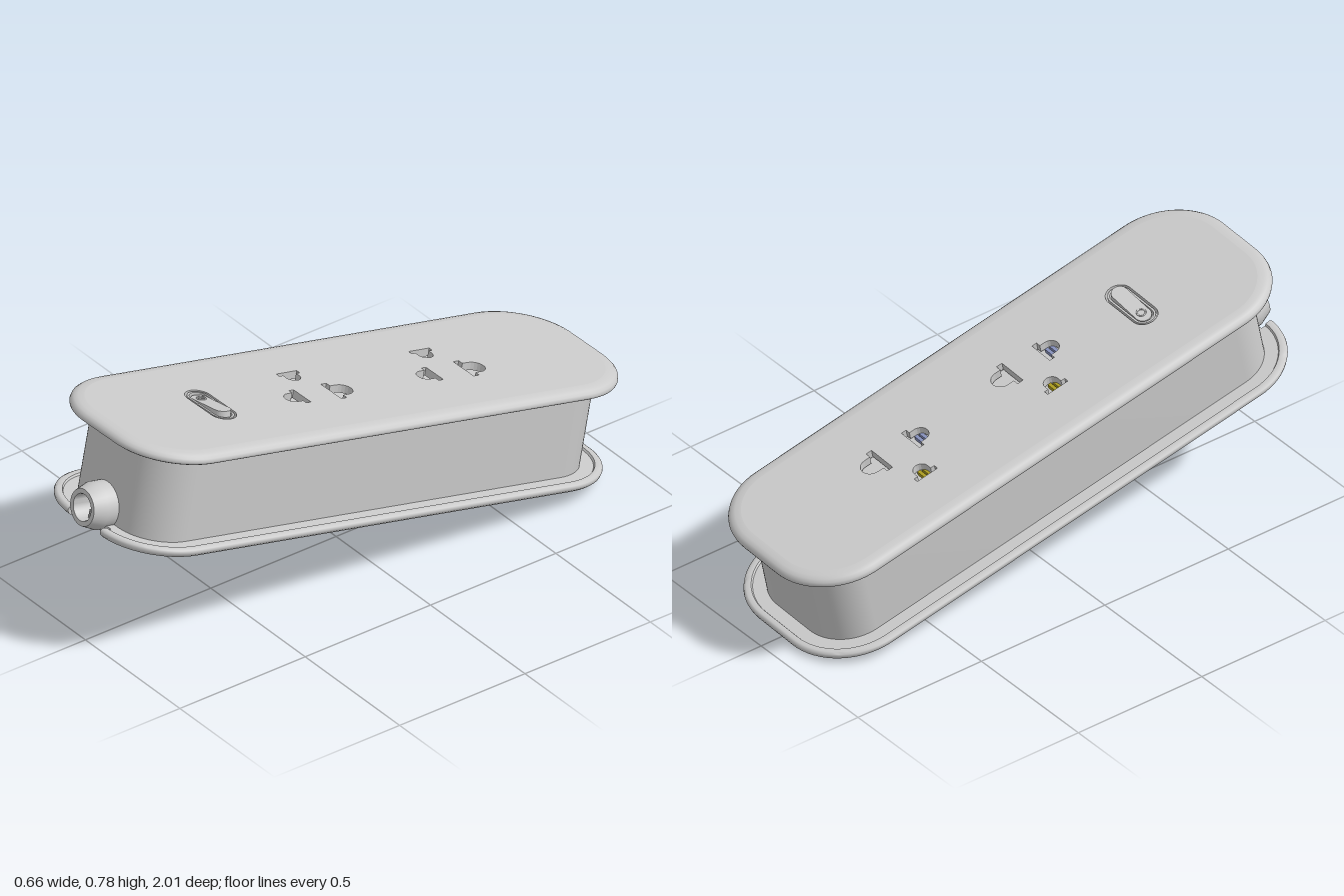
import * as THREE from 'three';
import { toCreasedNormals } from 'three/addons/utils/BufferGeometryUtils.js';

const HX = 0.315, HZ = 0.987, R = 0.23, H = 0.37;
const grey = new THREE.MeshStandardMaterial({ color: 0xcccccc, side: THREE.DoubleSide });
const brass = new THREE.MeshStandardMaterial({ color: 0xb0a020 });
const steel = new THREE.MeshStandardMaterial({ color: 0x8a94c0 });

function add(parent, name, geo, x = 0, y = 0, z = 0, mat = grey) {
  const mesh = new THREE.Mesh(geo, mat);
  mesh.name = name;
  mesh.position.set(x, y, z);
  parent.add(mesh);
  return mesh;
}

// Rounded rectangle seen from above, starting and ending at the front notch
function outline(inset, seg = 16) {
  const pts = [], r = R - inset;
  [[1, 1], [1, -1], [-1, -1], [-1, 1]].forEach(([sx, sz], k) => {
    for (let i = 0; i <= seg; i++) {
      const a = Math.PI / 2 * (1 - k - i / seg);
      pts.push(new THREE.Vector2(sx * (HX - R) + r * Math.cos(a), sz * (HZ - R) + r * Math.sin(a)));
    }
  });
  return pts;
}

// Sweep an [inset, height] profile around the outline
function sweep(profile, closed) {
  const pos = [], idx = [];
  let n = 0;
  for (const [inset, y] of profile) {
    const pts = outline(inset);
    if (closed) pts.push(pts[0]);
    n = pts.length;
    pts.forEach(p => pos.push(p.x, y, p.y));
  }
  for (let i = 0; i < profile.length - 1; i++) {
    for (let j = 0; j < n - 1; j++) {
      const a = i * n + j;
      idx.push(a, a + 1, a + n, a + 1, a + 1 + n, a + n);
    }
  }
  const geo = new THREE.BufferGeometry();
  geo.setAttribute('position', new THREE.Float32BufferAttribute(pos, 3));
  geo.setIndex(idx);
  return toCreasedNormals(geo, 0.75);
}

// Flat slab with holes, its shape drawn in x and z, its top at y = 0
function slab(shape, depth) {
  return new THREE.ExtrudeGeometry(shape, { depth, bevelEnabled: false, curveSegments: 20 }).rotateX(Math.PI / 2);
}

function capsule(Type, w, h, x = 0, z = 0) {
  const s = new Type(), r = h / 2, c = w / 2 - r;
  s.absarc(x + c, z, r, -Math.PI / 2, Math.PI / 2);
  s.absarc(x - c, z, r, Math.PI / 2, Math.PI * 1.5);
  s.closePath();
  return s;
}

// Domed socket opening with a wider foot
function slotPath({ x, z, turn, size }) {
  const pts = [[-0.035, 0.018], [-0.055, 0.018], [-0.055, 0.04], [0.055, 0.04], [0.055, 0.018], [0.035, 0.018]];
  for (let i = 0; i <= 10; i++) {
    const a = Math.PI * i / 10;
    pts.push([0.035 * Math.cos(a), -0.005 - 0.035 * Math.sin(a)]);
  }
  const c = Math.cos(turn) * size, s = Math.sin(turn) * size;
  return new THREE.Path(pts.map(([u, v]) => new THREE.Vector2(x + u * c - v * s, z + u * s + v * c)));
}

export function createModel() {
  const root = new THREE.Group();
  root.name = 'powerStrip';
  const strip = new THREE.Group();
  strip.name = 'tiltedStrip';
  strip.position.set(0.005, 0.205, 0.04);
  strip.rotation.set(-0.218, -0.0145, 0.03);
  root.add(strip);

  // Rolled rims of the top and bottom plates
  const rim = [[0.075, 0.342], [0.03, 0.342], [0.026, 0.335], [0.01, 0.333], [0.002, 0.338],
    [0, 0.345], [0.003, 0.355], [0.012, 0.363], [0.025, 0.368], [0.045, H]];
  const lowerRim = rim.map(([i, y]) => [i, H - y]).reverse();
  add(strip, 'topRim', sweep(rim, true));
  add(strip, 'bottomRim', sweep(lowerRim, false));
  const section = new THREE.Shape(lowerRim.map(([i, y]) => new THREE.Vector2(i - HZ, y)));
  for (const s of [-1, 1]) {
    add(strip, 'notchEnd', new THREE.ShapeGeometry(section).rotateY(Math.PI / 2), s * (HX - R));
  }

  // Body wall
  add(strip, 'body', sweep([[0.075, 0.02], [0.075, 0.35]], true));

  // Top plate with two sockets and a switch opening
  const slots = [];
  for (const dz of [0, 0.535]) {
    slots.push({ x: 0.045, z: -0.485 + dz, turn: 0, size: 1 },
      { x: 0.043, z: -0.296 + dz, turn: Math.PI, size: 0.85 },
      { x: -0.09, z: -0.389 + dz, turn: Math.PI / 2, size: 0.75 });
  }
  const top = new THREE.Shape(outline(0.045));
  top.holes = slots.map(slotPath);
  top.holes.push(capsule(THREE.Path, 0.22, 0.09, 0, 0.543));
  add(strip, 'topPlate', slab(top, 0.028), 0, H);

  // Socket floors and contacts
  slots.forEach(({ x, z, turn }, i) => {
    add(strip, 'socketFloor', new THREE.BoxGeometry(0.13, 0.01, 0.13), x, 0.325, z);
    if (turn === 0) return;
    const side = i % 3 === 2;
    for (let k = 0; k < 2; k++) {
      add(strip, 'contact', new THREE.BoxGeometry(0.055, 0.015, 0.012), x, 0.337,
        z + 0.005 + k * 0.018, side ? brass : steel);
    }
  });

  // Rocker switch
  const rocker = new THREE.Group();
  rocker.name = 'switch';
  rocker.position.set(0, 0.355, 0.543);
  strip.add(rocker);
  add(rocker, 'switchFloor', slab(capsule(THREE.Shape, 0.24, 0.11), 0.01), 0, -0.012);
  const collar = capsule(THREE.Shape, 0.205, 0.076);
  collar.holes.push(capsule(THREE.Path, 0.19, 0.062));
  add(rocker, 'switchCollar', slab(collar, 0.03), 0, 0.014);
  const key = add(rocker, 'switchKey', slab(capsule(THREE.Shape, 0.175, 0.056), 0.03), 0, 0.02);
  key.rotation.z = 0.13;
  add(key, 'keyRing', new THREE.TorusGeometry(0.014, 0.003, 6, 20).rotateX(Math.PI / 2), -0.05, 0.001);

  // Bottom plate with screw wells
  const wells = [[-0.15, 0.738], [0.15, 0.738], [0.045, -0.12], [-0.15, -0.775], [0.15, -0.775]];
  const floor = new THREE.Shape(outline(0.045));
  for (const [x, z] of wells) {
    const hole = new THREE.Path();
    hole.absarc(x, z, 0.033, 0, Math.PI * 2);
    floor.holes.push(hole);
    add(strip, 'screwWell', new THREE.CylinderGeometry(0.033, 0.033, 0.1, 24, 1, true), x, 0.055, z);
    add(strip, 'wellCap', new THREE.CircleGeometry(0.033, 24).rotateX(Math.PI / 2), x, 0.105, z);
  }
  add(strip, 'bottomPlate', slab(floor, 0.028), 0, 0.028);

  // Small feet and the label panel on the underside
  for (const x of [-0.15, 0.15]) {
    for (const z of [0.646, -0.675]) {
      add(strip, 'foot', new THREE.CylinderGeometry(0.018, 0.016, 0.014, 20), x, -0.005, z);
    }
  }
  const panel = new THREE.Shape();
  const px = 0.168, pz = 0.3, c = 0.06;
  panel.moveTo(-px + c, -pz).lineTo(px - c, -pz).quadraticCurveTo(px, -pz, px, -pz + c)
    .lineTo(px, pz - c).quadraticCurveTo(px, pz, px - c, pz)
    .lineTo(-px + c, pz).quadraticCurveTo(-px, pz, -px, pz - c)
    .lineTo(-px, -pz + c).quadraticCurveTo(-px, -pz, -px + c, -pz);
  add(strip, 'labelPanel', slab(panel, 0.004), 0, 0.002, 0.274);

  // Cable inlet at the front
  const bore = [[0.079, 0.9], [0.079, 0.955], [0.062, 1], [0.046, 1], [0.043, 0.994], [0.043, 0.915], [0, 0.915]];
  const inlet = new THREE.LatheGeometry(bore.map(([r, z]) => new THREE.Vector2(r, z)), 32).rotateX(Math.PI / 2);
  add(strip, 'cableInlet', toCreasedNormals(inlet, 0.5), -0.005, 0.072, 0);
  add(strip, 'inletTab', new THREE.BoxGeometry(0.006, 0.03, 0.05), -0.005, 0.045, 0.94);

  return root;
}
